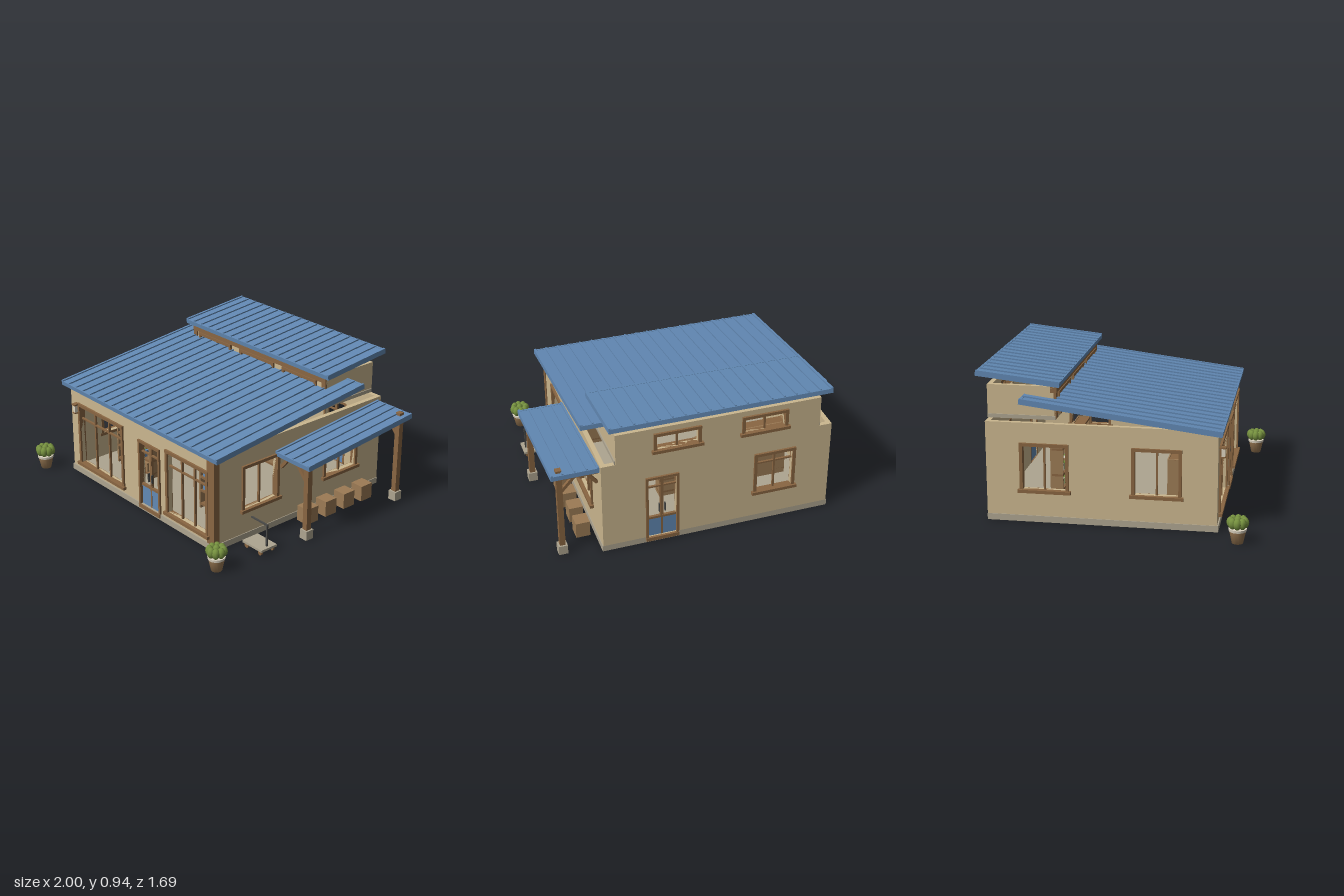
import * as THREE from 'three';

const mat = (name, color, extra = {}) => {
  const m = new THREE.MeshStandardMaterial({ color, ...extra });
  m.name = name;
  return m;
};

export function createModel() {
  const wallTan = mat('wall tan', 0xcbb78f);
  const roofBlue = mat('roof blue', 0x6289b4);
  const wood = mat('trim wood', 0x8a6642);
  const crateWood = mat('crate wood', 0x9c7b55);
  const stone = mat('stone grey', 0xaea590);
  const leafGreen = mat('leaf green', 0x76913f);
  const cream = mat('cream', 0xddd5c2);
  const metal = mat('dark metal', 0x4a4a48);

  const model = new THREE.Group();
  const group = (name, parent = model) => {
    const g = new THREE.Group();
    g.name = name;
    parent.add(g);
    return g;
  };
  const add = (parent, name, geo, material) => {
    const m = new THREE.Mesh(geo, material);
    m.name = name;
    parent.add(m);
    return m;
  };
  // Box given by its two corners
  const box = (p, name, material, x0, x1, y0, y1, z0, z1) => {
    const m = add(p, name, new THREE.BoxGeometry(x1 - x0, y1 - y0, z1 - z0), material);
    m.position.set((x0 + x1) / 2, (y0 + y1) / 2, (z0 + z1) / 2);
    return m;
  };
  // Square bar between two points
  const bar = (p, name, material, a, b, t) => {
    const A = new THREE.Vector3(...a), B = new THREE.Vector3(...b);
    const m = add(p, name, new THREE.BoxGeometry(t, t, A.distanceTo(B)), material);
    m.position.copy(A).add(B).multiplyScalar(0.5);
    m.lookAt(B);
    return m;
  };

  // A wall is drawn in its own plane: x along the wall, outer face at local z = 0
  const wall = (name, x0, x1, y0, y1, holes, place, turn) => {
    const g = group(name);
    g.position.set(...place);
    g.rotation.y = turn;
    const s = new THREE.Shape();
    s.moveTo(x0, y0).lineTo(x1, y0).lineTo(x1, y1).lineTo(x0, y1).closePath();
    for (const [a, b, c, d] of holes) {
      const h = new THREE.Path();
      h.moveTo(a, c).lineTo(a, d).lineTo(b, d).lineTo(b, c).closePath();
      s.holes.push(h);
    }
    const panel = add(g, 'wallPanel', new THREE.ExtrudeGeometry(s, { depth: 0.03, bevelEnabled: false }), wallTan);
    panel.position.z = -0.03;
    return g;
  };
  // Wooden frame round an opening, with mullions, optional rail and sill
  const windowFrame = (p, [x0, x1, y0, y1], mullions = 1, rail = 0, sill = true, t = 0.02) => {
    const g = group('windowFrame', p);
    for (const [a, b] of [[x0 - t, x0], [x1, x1 + t]]) box(g, 'jamb', wood, a, b, y0, y1, -0.032, 0.012);
    box(g, 'head', wood, x0 - t, x1 + t, y1, y1 + t, -0.032, 0.014);
    const o = sill ? 0.012 : 0;
    box(g, 'sill', wood, x0 - t - o, x1 + t + o, y0 - t, y0, -0.032, 0.012 + o);
    for (let i = 1; i <= mullions; i++) {
      const x = x0 + ((x1 - x0) * i) / (mullions + 1);
      box(g, 'mullion', wood, x - 0.006, x + 0.006, y0, y1, -0.02, -0.006);
    }
    if (rail) box(g, 'rail', wood, x0, x1, rail - 0.005, rail + 0.005, -0.02, -0.006);
  };
  // Double door with blue lower panels and open upper lights
  const door = (p, [x0, x1, y0, y1]) => {
    const g = group('door', p);
    windowFrame(g, [x0, x1, y0, y1], 1, 0.41, false, 0.016);
    box(g, 'lowerPanel', roofBlue, x0, x1, y0, 0.17, -0.022, -0.008);
    box(g, 'middleRail', wood, x0, x1, 0.17, 0.185, -0.022, -0.004);
    const c = (x0 + x1) / 2;
    box(g, 'meetingStile', wood, c - 0.01, c + 0.01, 0.185, y1, -0.021, -0.007);
    for (const s of [-1, 1]) box(g, 'handle', metal, c + s * 0.018 - 0.003, c + s * 0.018 + 0.003, 0.22, 0.28, -0.01, 0.004);
    box(g, 'threshold', wood, x0 - 0.016, x1 + 0.016, 0.015, 0.04, -0.02, 0.016);
  };

  // Foundation and floor
  box(model, 'foundation', stone, -0.79, 0.705, 0, 0.04, -0.78, 0.648);

  // Front wall
  const fw = [[-0.68, -0.22, 0.09, 0.5], [0.26, 0.63, 0.09, 0.5]], fd = [-0.02, 0.165, 0.04, 0.475];
  const front = wall('frontWall', -0.785, 0.7, 0.04, 0.63, [...fw, fd], [0, 0, 0.64], 0);
  fw.forEach((w) => windowFrame(front, w, 2, 0.41));
  door(front, fd);
  box(front, 'cornerPost', wood, 0.64, 0.706, 0.04, 0.62, -0.035, 0.008);

  // Back wall
  const bw = [0.295, 0.53, 0.23, 0.49], bd = [-0.41, -0.23, 0.04, 0.475];
  const back = wall('backWall', -0.7, 0.785, 0.04, 0.63, [bw, bd], [0, 0, -0.78], Math.PI);
  windowFrame(back, bw, 1, 0.43);
  door(back, bd);

  // Side walls: openings listed by their z range
  const sideOpen = [[0.14, 0.405, 0.21, 0.485], [-0.55, -0.285, 0.21, 0.485]];
  const flip = ([a, b, c, d]) => [-b, -a, c, d];
  const right = wall('leftSideWall', -0.64, 0.78, 0.04, 0.63, sideOpen.map(flip), [0.7, 0, 0], Math.PI / 2);
  const left = wall('rightSideWall', -0.78, 0.64, 0.04, 0.63, sideOpen, [-0.785, 0, 0], -Math.PI / 2);
  sideOpen.forEach((w) => {
    windowFrame(right, flip(w));
    windowFrame(left, w);
  });

  // Raised clerestory at the back
  const cf = [[-0.62, -0.32, 0.68, 0.78], [-0.19, 0.11, 0.68, 0.78], [0.23, 0.51, 0.68, 0.78]];
  const cb = [[-0.355, -0.095, 0.69, 0.785], [0.205, 0.465, 0.69, 0.785]];
  const cFront = wall('clerestoryFront', -0.7, 0.61, 0.63, 0.84, cf, [0, 0, -0.36], 0);
  cf.forEach((w) => windowFrame(cFront, w));
  box(cFront, 'header', wood, -0.7, 0.61, 0.8, 0.842, -0.032, 0.008);
  for (const x of [-0.7, 0.575]) box(cFront, 'cornerTrim', wood, x, x + 0.035, 0.64, 0.8, -0.01, 0.006);
  const cBack = wall('clerestoryBack', -0.61, 0.7, 0.63, 0.84, cb, [0, 0, -0.785], Math.PI);
  cb.forEach((w) => windowFrame(cBack, w));
  wall('clerestoryLeft', 0.36, 0.785, 0.63, 0.84, [], [0.61, 0, 0], Math.PI / 2);
  wall('clerestoryRight', -0.785, -0.36, 0.63, 0.84, [], [-0.7, 0, 0], -Math.PI / 2);
  for (const x of [-0.706, 0.598]) box(model, 'clerestoryFlashing', stone, x, x + 0.018, 0.632, 0.656, -0.78, -0.36);

  // Sloping standing-seam roof; (z, y) of the top edge at the front and back
  const roof = (name, x0, x1, zf, yf, zb, yb) => {
    const g = group(name), len = Math.hypot(zf - zb, yb - yf), w = x1 - x0;
    g.position.set((x0 + x1) / 2, (yf + yb) / 2, (zf + zb) / 2);
    g.rotation.x = Math.atan2(yb - yf, zf - zb);
    box(g, 'deck', roofBlue, -w / 2, w / 2, -0.03, -0.008, -len / 2, len / 2);
    for (const s of [-1, 1]) {
      const e = s * (w / 2 - 0.007), f = s * (len / 2 - 0.006);
      box(g, 'vergeTrim', roofBlue, e - 0.008, e + 0.008, -0.035, 0, -len / 2, len / 2);
      box(g, 'eaveTrim', roofBlue, -w / 2, w / 2, -0.035, -0.006, f - 0.008, f + 0.008);
    }
    const n = Math.round(w / 0.08);
    for (let i = 1; i < n; i++) {
      const x = -w / 2 + (w * i) / n;
      box(g, 'seam', roofBlue, x - 0.005, x + 0.005, -0.01, 0.001, -len / 2 + 0.004, len / 2 - 0.004);
    }
  };
  roof('mainRoof', -0.845, 0.757, 0.67, 0.645, -0.55, 0.795);
  roof('upperRoof', -0.745, 0.66, -0.325, 0.88, -0.84, 0.935);
  roof('porchRoof', 0.7, 0.995, 0.15, 0.524, -0.75, 0.614);

  // Side porch posts, cross beams and braces
  const porch = group('porch');
  for (const [z, top, beam] of [[0.1, 0.5, 0.48], [-0.7, 0.617, 0.555]]) {
    box(porch, 'postBase', stone, 0.91, 0.968, 0, 0.062, z - 0.029, z + 0.029);
    box(porch, 'post', wood, 0.921, 0.957, 0.062, top, z - 0.018, z + 0.018);
    box(porch, 'crossBeam', wood, 0.7, 0.957, beam - 0.012, beam + 0.012, z - 0.012, z + 0.012);
    bar(porch, 'postBrace', wood, [0.93, beam - 0.1, z], [0.845, beam - 0.005, z], 0.02);
    bar(porch, 'wallBrace', wood, [0.705, beam - 0.08, z], [0.765, beam - 0.005, z], 0.02);
  }

  // Row of crates beside the wall
  for (let i = 0; i < 4; i++) {
    const z = -0.063 - i * 0.163;
    box(model, 'crate', crateWood, 0.735, 0.825, 0, 0.105, z - 0.048, z + 0.048);
  }

  // Flat hand cart
  const cart = group('handCart');
  box(cart, 'platform', stone, 0.762, 0.936, 0.03, 0.045, 0.345, 0.47);
  for (const x of [0.79, 0.91]) for (const z of [0.36, 0.455]) {
    const w = add(cart, 'wheel', new THREE.CylinderGeometry(0.016, 0.016, 0.014, 12), wood);
    w.rotation.x = Math.PI / 2;
    w.position.set(x, 0.016, z);
  }
  box(cart, 'handlePole', metal, 0.908, 0.918, 0.045, 0.19, 0.402, 0.412);
  box(cart, 'handleBar', metal, 0.775, 0.92, 0.184, 0.193, 0.402, 0.412);

  // Shelving units with goods
  const shelf = (x0, x1, z, h) => {
    const g = group('shelfUnit'), zb = z - 0.04, zf = z + 0.04;
    box(g, 'backPanel', crateWood, x0, x1, 0.04, h, zb, zb + 0.008);
    for (const x of [x0, x1 - 0.014]) box(g, 'sidePanel', crateWood, x, x + 0.014, 0.04, h, zb, zf);
    for (const y of [0.07, 0.165, 0.26, h - 0.014]) box(g, 'board', wood, x0, x1, y - 0.006, y + 0.008, zb, zf);
    const goods = [roofBlue, leafGreen, cream, crateWood], n = Math.floor((x1 - x0 - 0.04) / 0.025);
    for (const y of [0.173, 0.268]) for (let i = 0; i < n; i++) {
      if (i % 6 === 5) continue;
      const x = x0 + 0.025 + i * 0.025;
      box(g, 'goods', goods[(i * 3 + Math.floor(i / 4)) % 4], x, x + 0.019, y, y + 0.045, z - 0.01, z + 0.028);
    }
    box(g, 'storedBox', crateWood, x1 - 0.14, x1 - 0.04, 0.078, 0.14, z - 0.02, z + 0.036);
  };
  shelf(-0.62, -0.25, 0.355, 0.39);
  shelf(0.26, 0.61, 0.355, 0.39);
  shelf(-0.65, -0.29, -0.37, 0.44);
  shelf(-0.06, 0.22, -0.37, 0.4);

  // Wall lamp by the front window
  const lamp = group('wallLamp');
  box(lamp, 'lampBracket', wood, -0.725, -0.69, 0.505, 0.515, 0.64, 0.68);
  box(lamp, 'lampGlass', cream, -0.718, -0.697, 0.455, 0.505, 0.652, 0.674);
  box(lamp, 'lampBase', wood, -0.722, -0.693, 0.447, 0.455, 0.648, 0.678);

  // Potted shrubs
  const potProfile = [[0, 0], [0.034, 0], [0.05, 0.075], [0.05, 0.08], [0, 0.08]].map((p) => new THREE.Vector2(...p));
  const planter = (x, z) => {
    const g = group('planter');
    g.position.set(x, 0, z);
    add(g, 'pot', new THREE.LatheGeometry(potProfile, 16), crateWood);
    add(g, 'potRim', new THREE.CylinderGeometry(0.055, 0.053, 0.016, 16), cream).position.y = 0.084;
    for (let i = 0; i < 9; i++) {
      const a = (i / 8) * Math.PI * 2, r = i === 8 ? 0 : 0.042;
      const leaf = add(g, 'leafClump', new THREE.SphereGeometry(0.025, 8, 6), leafGreen);
      leaf.scale.set(1, 1.4, 1);
      leaf.position.set(Math.cos(a) * r, i === 8 ? 0.132 : 0.128, Math.sin(a) * r);
    }
  };
  planter(-0.935, 0.775);
  planter(0.868, 0.765);

  return model;
}
